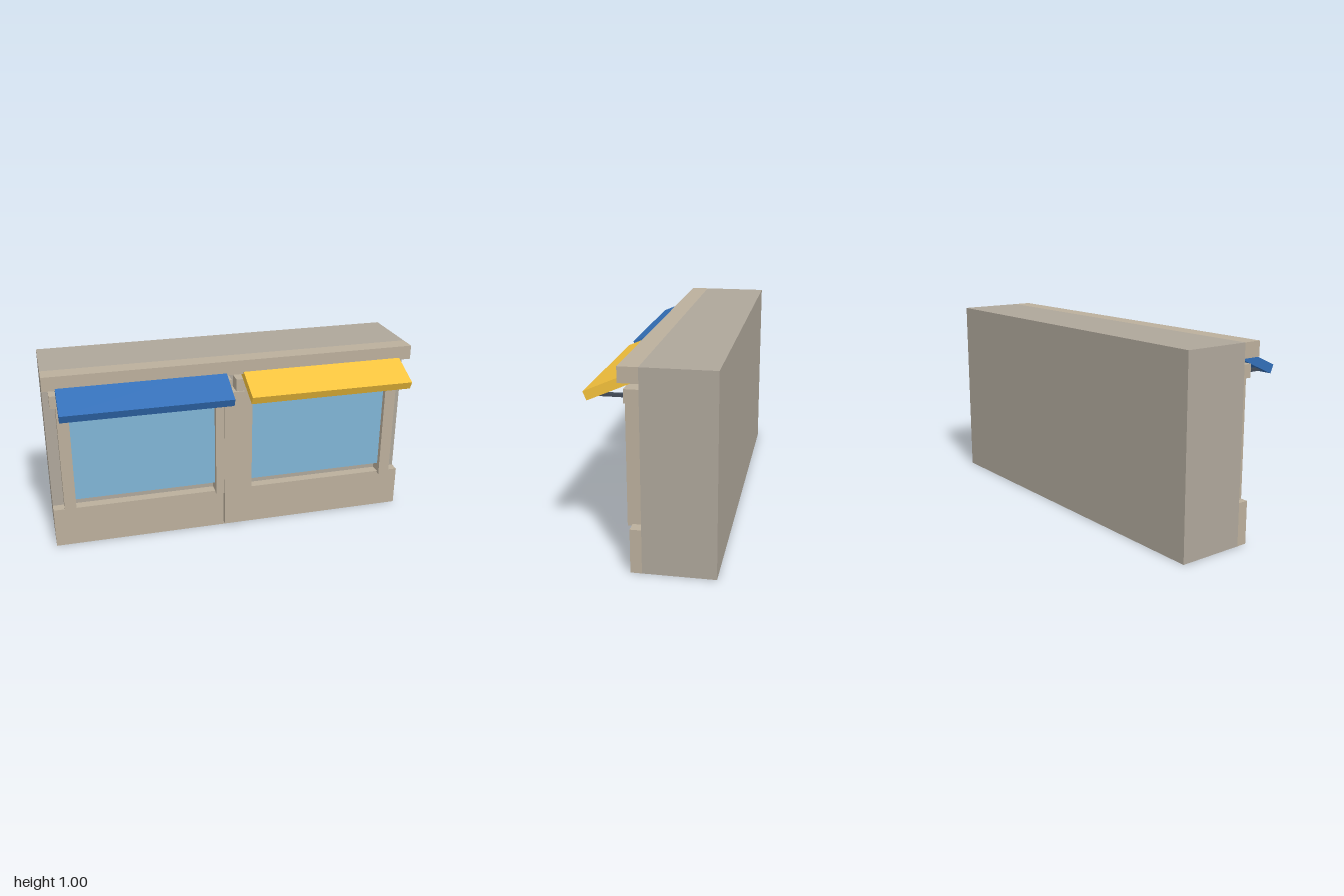
import * as THREE from 'three';

const mat = (color) => new THREE.MeshStandardMaterial({ color });

export function createModel() {
  const group = new THREE.Group();
  const wall = mat(0xaea69a), trim = mat(0xbbaf9c), glass = mat(0x80b4d5);
  const dark = mat(0x414a57), blue = mat(0x336fb8), yellow = mat(0xf5c23c);

  // Box given by its limits on each axis
  function block(name, material, x0, x1, y0, y1, z0, z1) {
    const mesh = new THREE.Mesh(new THREE.BoxGeometry(x1 - x0, y1 - y0, z1 - z0), material);
    mesh.position.set((x0 + x1) / 2, (y0 + y1) / 2, (z0 + z1) / 2);
    mesh.name = name;
    group.add(mesh);
  }

  // Building shell
  block('body', wall, -1, 1, 0, 1, -0.315, 0.04);
  block('cornice', trim, -1, 1, 0.924, 1, 0.04, 0.137);
  block('basePlinth', trim, -1, 1, 0, 0.222, 0.04, 0.095);
  block('centrePillar', trim, -0.056, 0.056, 0.021, 0.821, 0.04, 0.127);

  // Two shop windows, each with frame, struts and awning
  const bays = [
    { side: 'right', cx: -0.49, cloth: blue },
    { side: 'left', cx: 0.49, cloth: yellow },
  ];
  for (const { side, cx, cloth } of bays) {
    block(side + 'Window', glass, cx - 0.39, cx + 0.39, 0.272, 0.821, 0.04, 0.09);
    block(side + 'Lintel', trim, cx - 0.478, cx + 0.478, 0.821, 0.888, 0.04, 0.118);
    for (const s of [-1, 1]) {
      const jx = cx + s * 0.419, bx = cx + s * 0.41;
      block(side + 'Jamb', trim, jx - 0.031, jx + 0.031, 0.213, 0.821, 0.04, 0.118);
      block(side + 'AwningStrut', dark, bx - 0.009, bx + 0.009, 0.831, 0.847, 0.1, 0.262);
    }

    // Sloping slab, hinged at the wall under the cornice
    const length = 0.275, thickness = 0.046;
    const geometry = new THREE.BoxGeometry(0.888, thickness, length);
    geometry.translate(0, thickness / 2, -length / 2);
    const awning = new THREE.Mesh(geometry, cloth);
    awning.name = side + 'Awning';
    awning.position.set(cx, 0.815, 0.297);
    awning.rotation.x = 0.413;
    group.add(awning);
  }
  return group;
}
